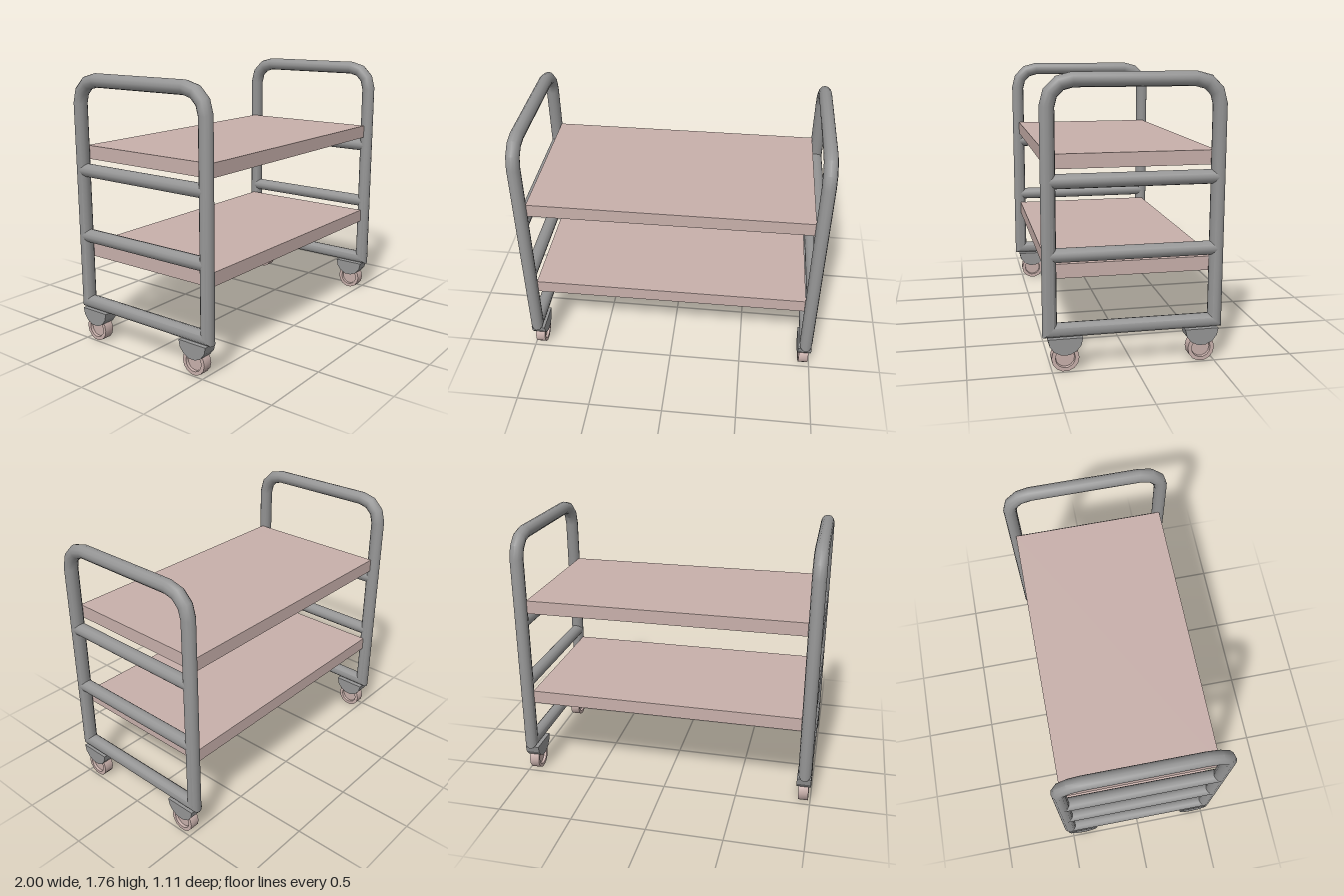
import * as THREE from 'three';
import { toCreasedNormals } from 'three/addons/utils/BufferGeometryUtils.js';

const R = 0.044, SIDES = 12;      // tube radius and sides
const TUBE_X = 0.956, POST_Z = 0.509;

const grey = new THREE.MeshStandardMaterial({ color: 0x959595 });
const pink = new THREE.MeshStandardMaterial({ color: 0xc8b0ab });

function add(parent, name, geometry, material, x = 0, y = 0, z = 0) {
  const mesh = new THREE.Mesh(geometry, material);
  mesh.name = name;
  mesh.position.set(x, y, z);
  parent.add(mesh);
  return mesh;
}

// Closed tube with mitred joints along a [z, y] outline
function mitredLoop(path) {
  const n = path.length, pos = [], idx = [];
  const normal = (a, b) => new THREE.Vector2(b[1] - a[1], a[0] - b[0]).normalize();
  for (let i = 0; i < n; i++) {
    const p = path[i];
    const n1 = normal(path[(i + n - 1) % n], p), n2 = normal(p, path[(i + 1) % n]);
    const m = n1.clone().add(n2).divideScalar(1 + n1.dot(n2));
    for (let j = 0; j < SIDES; j++) {
      const a = (j / SIDES) * Math.PI * 2, c = R * Math.cos(a);
      pos.push(R * Math.sin(a), p[1] + m.y * c, p[0] + m.x * c);
      const k = (j + 1) % SIDES, i2 = (i + 1) % n;
      const A = i * SIDES + j, B = i * SIDES + k, C = i2 * SIDES + k, D = i2 * SIDES + j;
      idx.push(A, B, C, A, C, D);
    }
  }
  const g = new THREE.BufferGeometry();
  g.setAttribute('position', new THREE.Float32BufferAttribute(pos, 3));
  g.setIndex(idx);
  return toCreasedNormals(g, 0.7);
}

// Side frame outline: square foot corners, rounded top corners
function frameOutline() {
  const bend = 0.147, top = 1.721, foot = 0.253, pts = [[POST_Z, foot]];
  for (const s of [1, -1]) {
    for (let i = 0; i <= 3; i++) {
      const a = ((s > 0 ? i : 3 - i) / 3) * Math.PI / 2;
      pts.push([s * (POST_Z - bend + bend * Math.cos(a)), top - bend + bend * Math.sin(a)]);
    }
  }
  pts.push([-POST_Z, foot]);
  return pts;
}

// Half-round caster housing
function housingGeometry() {
  const pts = [];
  for (let i = 0; i <= 7; i++) {
    const a = Math.PI + (i / 7) * Math.PI;
    pts.push(new THREE.Vector2(0.105 * Math.cos(a), 0.105 * Math.sin(a)));
  }
  const g = new THREE.ExtrudeGeometry(new THREE.Shape(pts), { depth: 0.094, bevelEnabled: false });
  return g.translate(0, 0, -0.047).rotateY(Math.PI / 2);
}

// Wheel with a recessed hub on both faces
function wheelGeometry() {
  const profile = [[0, -0.016], [0.057, -0.016], [0.06, -0.033], [0.084, -0.033],
    [0.084, 0.033], [0.06, 0.033], [0.057, 0.016], [0, 0.016]];
  const g = new THREE.LatheGeometry(profile.map(([r, y]) => new THREE.Vector2(r, y)), 14);
  return toCreasedNormals(g.rotateZ(Math.PI / 2), 0.6);
}

export function createModel() {
  const cart = new THREE.Group();
  cart.name = 'trolley';

  const loop = mitredLoop(frameOutline());
  const bar = new THREE.CylinderGeometry(R, R, POST_Z * 2, SIDES).rotateX(Math.PI / 2);
  const housing = housingGeometry();
  const wheel = wheelGeometry();

  for (const s of [1, -1]) {
    const side = new THREE.Group();
    side.name = s > 0 ? 'leftFrame' : 'rightFrame';
    side.position.x = s * TUBE_X;
    cart.add(side);
    add(side, 'tubeLoop', loop, grey);
    add(side, 'upperCrossbar', bar, grey, 0, 1.145);
    add(side, 'lowerCrossbar', bar, grey, 0, 0.709);
    for (const z of [0.42, -0.42]) {
      const caster = new THREE.Group();
      caster.name = z > 0 ? 'frontCaster' : 'backCaster';
      caster.position.set(-s * 0.003, 0, z);
      side.add(caster);
      add(caster, 'housing', housing, grey, 0, 0.21);
      add(caster, 'wheel', wheel, pink, 0, 0.084);
    }
  }

  // Shelves
  const shelf = new THREE.BoxGeometry(1.83, 0.088, 1.015);
  add(cart, 'upperShelf', shelf, pink, 0, 1.254);
  add(cart, 'lowerShelf', shelf, pink, 0, 0.6);
  return cart;
}
